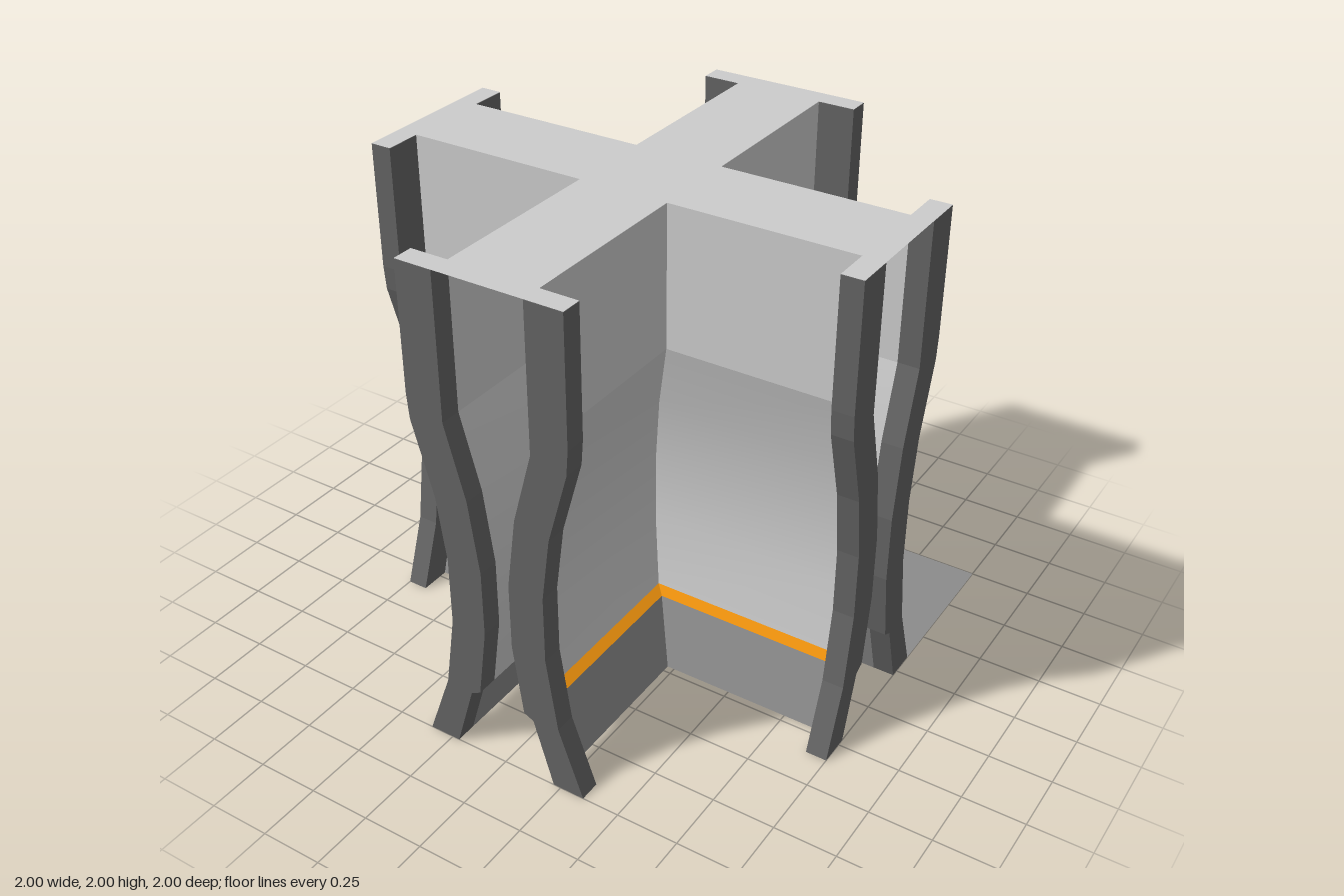
import * as THREE from 'three';

const mat = (name, color) =>
  new THREE.MeshStandardMaterial({ name, color, side: THREE.DoubleSide });

const END = 1;        // outer end of every arm
const INNER = 0.915;  // where the end frame begins

// Wall half-width against height, split by colour band
const UPPER = [[0.18, 2], [0.18, 1.43]];
const CURVE = [[0.18, 1.43], [0.10, 1.14], [0.06, 0.85], [0.06, 0.58], [0.10, 0.29]];
const LEDGE = [[0.10, 0.29], [0.14, 0.27]];
const SKIRT = [[0.14, 0.27], [0.22, 0]];
// Outer edge of the end frame, bottom to top
const FRAME_OUTER = [[0.35, 0], [0.25, 0.28], [0.205, 0.58], [0.205, 0.85],
  [0.24, 1.11], [0.322, 1.4], [0.33, 1.5], [0.33, 1.998]];

// Wall strip along the +x arm, mitred at the inner corner; side = +1 / -1 in z
function wallStrip(profile, side) {
  const pos = [], index = [];
  profile.forEach(([p, y], i) => {
    pos.push(p, y, side * p, INNER, y, side * p);
    if (i === 0) return;
    const a = 2 * (i - 1), b = a + 1, c = a + 2, d = a + 3;
    if (side > 0) index.push(a, c, b, b, c, d);
    else index.push(a, b, c, b, d, c);
  });
  const g = new THREE.BufferGeometry();
  g.setAttribute('position', new THREE.Float32BufferAttribute(pos, 3));
  g.setIndex(index);
  g.computeVertexNormals();
  return g;
}

// Curved upright that finishes one edge of an arm end
function frameGeometry(side) {
  const inner = [...UPPER, ...CURVE.slice(1), ...SKIRT]
    .map(([p, y]) => [p, Math.min(y, 1.998)]);
  const pts = [...inner, ...FRAME_OUTER]
    .map(([p, y]) => new THREE.Vector2(-side * p, y));
  const g = new THREE.ExtrudeGeometry(new THREE.Shape(pts),
    { depth: END - INNER, bevelEnabled: false });
  g.translate(0, 0, INNER);
  g.rotateY(Math.PI / 2);
  return g;
}

// Flat horizontal plate from [x, z] corners
function plate(points, y) {
  const g = new THREE.ShapeGeometry(
    new THREE.Shape(points.map(([x, z]) => new THREE.Vector2(x, -z))));
  g.rotateX(-Math.PI / 2);
  g.translate(0, y, 0);
  return g;
}

export function createModel() {
  const model = new THREE.Group();
  model.name = 'crossWall';

  const light = mat('lightPanel', 0xcccccc);
  const grey = mat('midGrey', 0x8c8c8c);
  const dark = mat('darkFrame', 0x646464);
  const orange = mat('orangeTrim', 0xe68c0c);

  const add = (parent, name, geometry, material) => {
    const mesh = new THREE.Mesh(geometry, material);
    mesh.name = name;
    parent.add(mesh);
  };

  // Four identical hollow arms
  const capOutline = [];
  for (let i = 0; i < 4; i++) {
    const arm = new THREE.Group();
    arm.name = 'arm' + (i + 1);
    arm.rotation.y = i * Math.PI / 2;
    for (const side of [1, -1]) {
      add(arm, 'upperWall', wallStrip(UPPER, side), light);
      add(arm, 'curvedWall', wallStrip(CURVE, side), light);
      add(arm, 'trimStrip', wallStrip(LEDGE, side), orange);
      add(arm, 'skirtWall', wallStrip(SKIRT, side), grey);
      add(arm, 'endFrame', frameGeometry(side), dark);
    }
    model.add(arm);

    // This arm's share of the cap outline, turned into place
    const c = Math.round(Math.cos(i * Math.PI / 2));
    const s = Math.round(Math.sin(i * Math.PI / 2));
    const corners = [[0.18, 0.18], [INNER, 0.18], [INNER, 0.33], [END, 0.33],
      [END, -0.33], [INNER, -0.33], [INNER, -0.18]];
    for (const [x, z] of corners) capOutline.push([x * c + z * s, -x * s + z * c]);
  }

  // Flat cross-shaped cap with T ends
  add(model, 'topCap', plate(capOutline, 2), light);

  // Floor plates in the two rear corners, notched around the frames
  const floor = [[0.22, -0.22], [INNER, -0.22], [INNER, -0.35], [END, -0.35],
    [END, -END], [0.35, -END], [0.35, -INNER], [0.22, -INNER]];
  add(model, 'leftFloor', plate(floor, 0), grey);
  add(model, 'rightFloor', plate(floor.map(([x, z]) => [-x, z]), 0), grey);

  return model;
}
